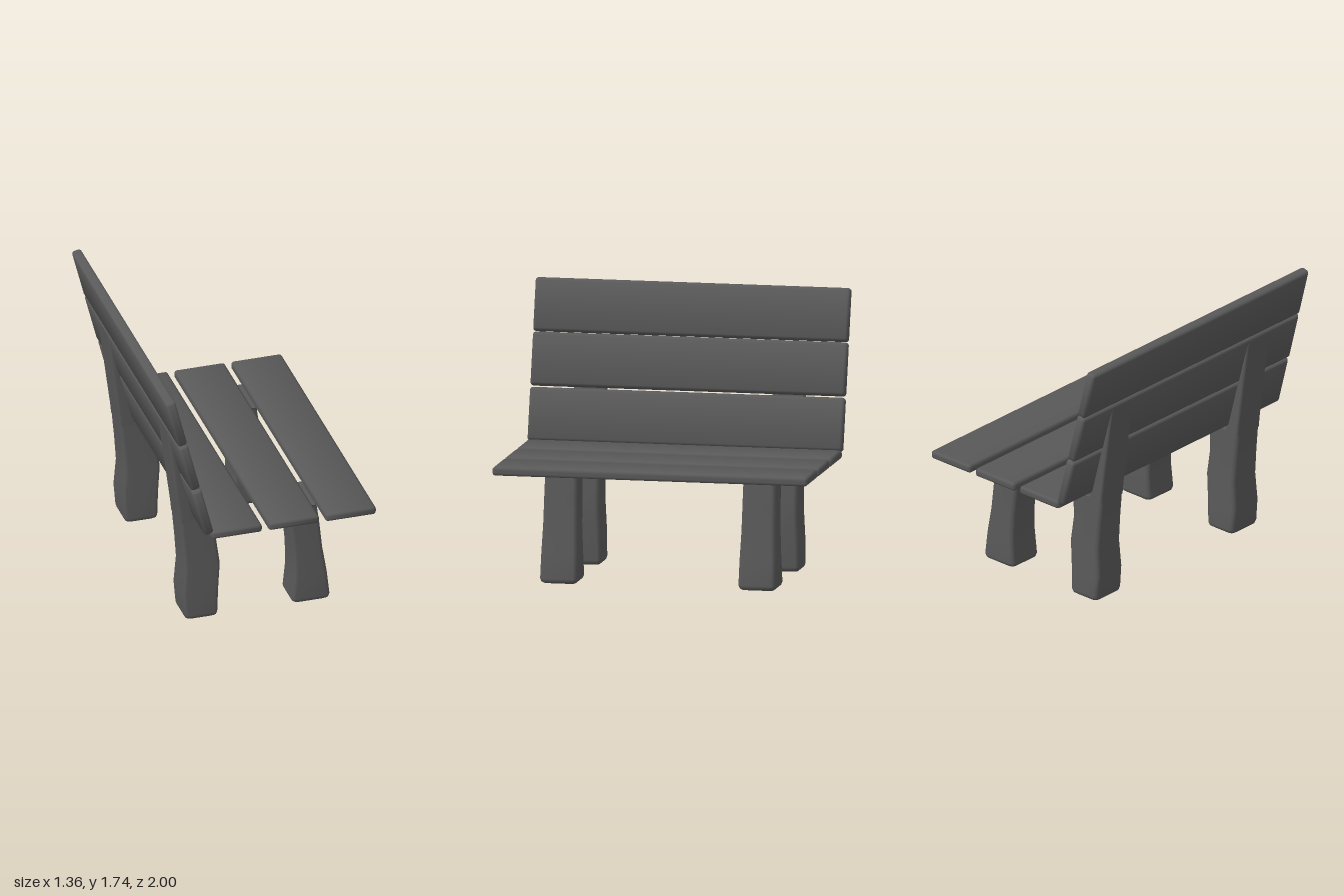
import * as THREE from 'three';
import { RoundedBoxGeometry } from 'three/addons/geometries/RoundedBoxGeometry.js';

const material = new THREE.MeshStandardMaterial({ color: 0x595959 });

// Rounded plank along z, its normals leaning outwards for soft shading across the width
function makePlank(width, thickness) {
  const geo = new RoundedBoxGeometry(width, thickness, 2, 3, 0.02);
  const pos = geo.attributes.position, nor = geo.attributes.normal;
  const n = new THREE.Vector3();
  for (let i = 0; i < pos.count; i++) {
    n.fromBufferAttribute(nor, i);
    n.x += 0.35 * pos.getX(i) / (width / 2);
    n.normalize();
    nor.setXYZ(i, n.x, n.y, n.z);
  }
  return geo;
}

// Rounded rectangle outline, from +x towards +z
function outline(x0, x1, hz, r) {
  const cx = (x0 + x1) / 2, hx = (x1 - x0) / 2, pts = [];
  r = Math.min(r, hx * 0.9, hz * 0.9);
  [[1, 1], [-1, 1], [-1, -1], [1, -1]].forEach(([sx, sz], q) => {
    for (let k = 0; k < 3; k++) {
      const a = (q + k / 2) * Math.PI / 2;
      pts.push([cx + sx * (hx - r) + r * Math.cos(a), sz * (hz - r) + r * Math.sin(a)]);
    }
  });
  return pts;
}

// Closed loft through horizontal sections [y, xBack, xFront, halfDepthZ]
function loft(sections, r) {
  const pos = [], idx = [], n = 12;
  const addRing = (s) => outline(s[1], s[2], s[3], r).forEach(([x, z]) => pos.push(x, s[0], z));
  sections.forEach(addRing);
  for (let i = 0; i < sections.length - 1; i++) {
    for (let j = 0; j < n; j++) {
      const a = i * n + j, b = i * n + (j + 1) % n;
      idx.push(a, a + n, b, b, a + n, b + n);
    }
  }
  // Flat caps with their own vertices
  [sections[0], sections[sections.length - 1]].forEach((s, top) => {
    const start = pos.length / 3;
    addRing(s);
    for (let j = 1; j < n - 1; j++) {
      if (top) idx.push(start, start + j + 1, start + j);
      else idx.push(start, start + j, start + j + 1);
    }
  });
  const geo = new THREE.BufferGeometry();
  geo.setAttribute('position', new THREE.Float32BufferAttribute(pos, 3));
  geo.setIndex(idx);
  geo.computeVertexNormals();
  return geo;
}

export function createModel() {
  const bench = new THREE.Group();
  bench.name = 'bench';
  const add = (name, geo, x, y, z) => {
    const mesh = new THREE.Mesh(geo, material);
    mesh.name = name;
    mesh.position.set(x, y, z);
    bench.add(mesh);
    return mesh;
  };

  // Seat and backrest planks
  const seatPlank = makePlank(0.33, 0.055);
  const backPlank = makePlank(0.336, 0.062);
  [-0.225, 0.146, 0.516].forEach((x) => add('seatPlank', seatPlank, x, 0.733, 0));
  [[-0.445, 0.909], [-0.533, 1.243], [-0.616, 1.572]].forEach(([x, y]) => {
    add('backPlank', backPlank, x, y, 0).rotation.z = Math.PI / 2 + 0.25;
  });

  // Front legs, flaring out under the seat
  const frontLeg = loft([
    [0, 0.235, 0.44, 0.1], [0.01, 0.22, 0.454, 0.113], [0.03, 0.215, 0.461, 0.119],
    [0.19, 0.23, 0.444, 0.115], [0.36, 0.225, 0.417, 0.109], [0.53, 0.206, 0.4, 0.106],
    [0.66, 0.186, 0.383, 0.104], [0.688, 0.179, 0.38, 0.107],
    [0.698, 0.15, 0.402, 0.128], [0.71, 0.122, 0.437, 0.151],
  ], 0.025);

  // Rear legs and the tapering posts that carry the backrest
  const backLeg = loft([
    [0, -0.463, -0.287, 0.1], [0.01, -0.476, -0.273, 0.113], [0.03, -0.482, -0.268, 0.119],
    [0.18, -0.496, -0.262, 0.115], [0.36, -0.482, -0.249, 0.109], [0.53, -0.495, -0.272, 0.106],
    [0.64, -0.506, -0.266, 0.104], [0.708, -0.512, -0.266, 0.104],
  ], 0.025);
  const backPost = loft([
    [0.69, -0.511, -0.405, 0.104], [0.76, -0.518, -0.418, 0.104], [1.08, -0.56, -0.502, 0.103],
    [1.36, -0.597, -0.555, 0.1], [1.385, -0.598, -0.565, 0.096], [1.395, -0.592, -0.57, 0.09],
  ], 0.015);

  for (const z of [-0.633, 0.626]) {
    add('frontLeg', frontLeg, 0, 0, z);
    add('backLeg', backLeg, 0, 0, z);
    add('backPost', backPost, 0, 0, z);
  }
  return bench;
}
